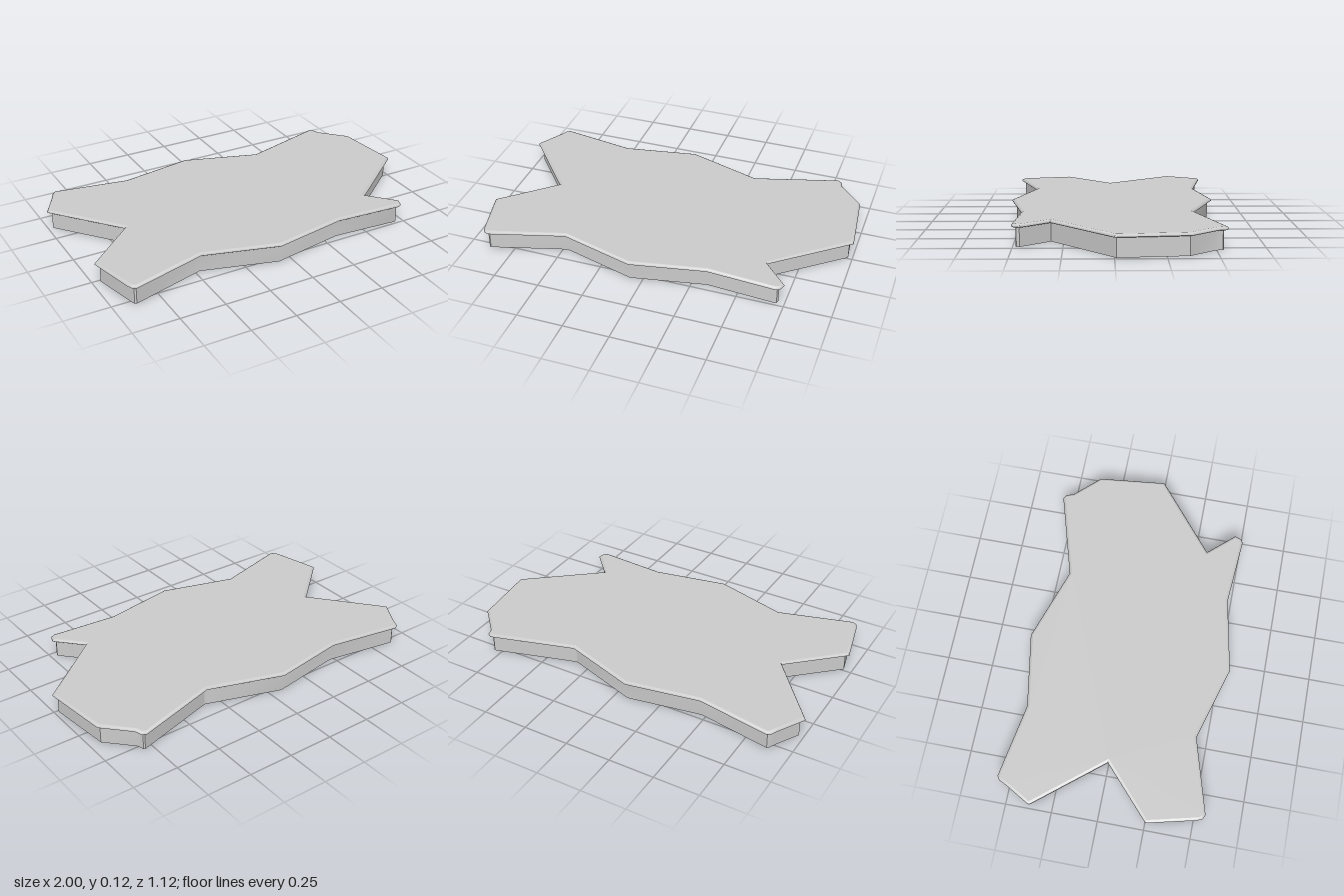
import * as THREE from 'three';
import { toCreasedNormals } from 'three/addons/utils/BufferGeometryUtils.js';

// Lid outline as [x, z], counter-clockwise seen from above
const OUTLINE = [
  [-0.88, -0.56], [-0.90, -0.547], [-0.92, -0.505], [-1, -0.365], [-0.70, 0],
  [-0.98, 0.255], [-0.917, 0.515], [-0.905, 0.545], [-0.88, 0.557],
  [-0.475, 0.44], [-0.07, 0.557], [0.335, 0.48], [0.705, 0.507],
  [0.727, 0.497], [0.74, 0.46], [0.61, 0.317], [1, 0], [0.96, -0.37],
  [0.83, -0.507], [0.818, -0.545], [0.795, -0.56], [0.335, -0.425],
  [-0.07, -0.56], [-0.475, -0.49],
].map(([x, z]) => new THREE.Vector2(x, -z));

// Mitred inset of the outline
function inset(d) {
  const n = OUTLINE.length;
  const inward = (a, b) => new THREE.Vector2(a.y - b.y, b.x - a.x).normalize();
  return OUTLINE.map((p, i) => {
    const n1 = inward(OUTLINE[(i + n - 1) % n], p);
    const n2 = inward(p, OUTLINE[(i + 1) % n]);
    const k = d / (1 + n1.dot(n2));
    return n1.add(n2).multiplyScalar(k).add(p);
  });
}

// Closed band through a list of [inset, height] rings
function band(profile, crease) {
  const positions = [], index = [], n = OUTLINE.length;
  profile.forEach(([d, y], r) => {
    inset(d).forEach((p, i) => {
      positions.push(p.x, y, -p.y);
      if (r === 0) return;
      const j = (i + 1) % n, a = (r - 1) * n, b = r * n;
      index.push(a + i, a + j, b + j, a + i, b + j, b + i);
    });
  });
  const geometry = new THREE.BufferGeometry();
  geometry.setAttribute('position', new THREE.Float32BufferAttribute(positions, 3));
  geometry.setIndex(index);
  return toCreasedNormals(geometry, crease);
}

// Flat sheet filling the outline at one height
function sheet(d, y) {
  const geometry = new THREE.ShapeGeometry(new THREE.Shape(inset(d)));
  return geometry.rotateX(-Math.PI / 2).translate(0, y, 0);
}

export function createModel() {
  const group = new THREE.Group();
  const material = new THREE.MeshStandardMaterial({ color: 0xcccccc, side: THREE.DoubleSide });
  const add = (name, geometry) => {
    const mesh = new THREE.Mesh(geometry, material);
    mesh.name = name;
    group.add(mesh);
  };

  // Thin skirt wall, open underneath
  add('skirtWall', band([[0.022, 0], [0.022, 0.1]], 0.6));

  // Overhanging lid with a rounded rim
  add('lidRim', band([[0.004, 0.1], [0, 0.103], [0, 0.107], [0.004, 0.113], [0.014, 0.117]], 0.8));
  add('lidTop', sheet(0.014, 0.117));
  add('lidUnderside', sheet(0.004, 0.1));

  return group;
}
